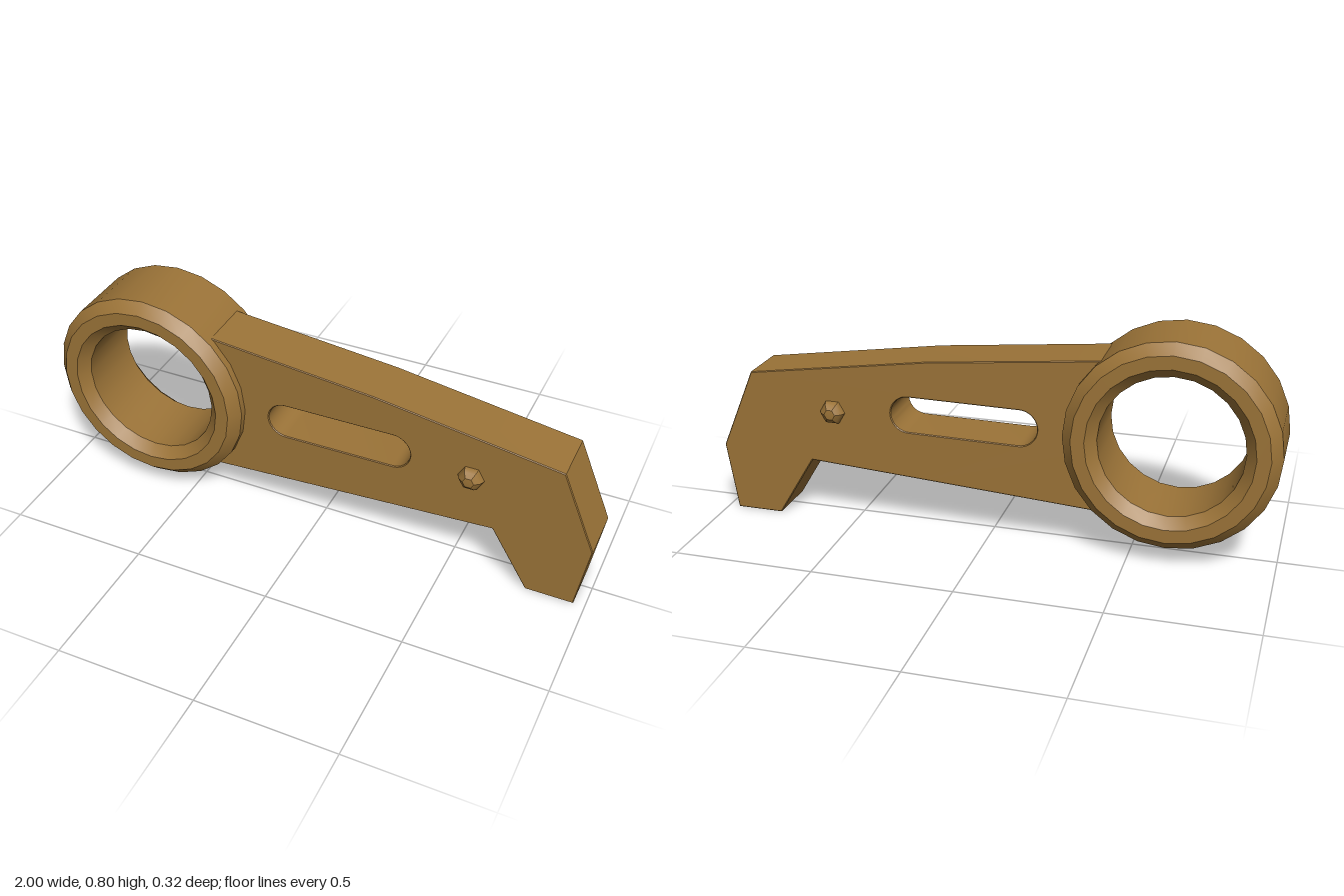
import * as THREE from 'three';
import { toCreasedNormals } from 'three/addons/utils/BufferGeometryUtils.js';

const RING = { x: -0.634, y: 0.433 };
const HALF = 0.097; // half thickness of the arm

export function createModel() {
  const group = new THREE.Group();
  const bronze = new THREE.MeshStandardMaterial({ color: 0x9c7438 });
  bronze.name = 'bronze';

  const add = (name, geometry, x = 0, y = 0, z = 0) => {
    const mesh = new THREE.Mesh(toCreasedNormals(geometry, 0.5), bronze);
    mesh.name = name;
    mesh.position.set(x, y, z);
    group.add(mesh);
    return mesh;
  };
  // Revolved profile of [radius, z] pairs, with its axis along z
  const turned = (profile, segments, start = 0) =>
    new THREE.LatheGeometry(profile.map(([r, z]) => new THREE.Vector2(r, z)), segments, start)
      .rotateX(Math.PI / 2);

  // Ring with chamfered rims inside and out
  add('ring', turned([
    [0.366, -0.123], [0.366, 0.123], [0.33, 0.16], [0.283, 0.16], [0.247, 0.123],
    [0.247, -0.123], [0.283, -0.16], [0.33, -0.16], [0.366, -0.123],
  ], 24), RING.x, RING.y);

  // Tapered arm with hooked tip; its root is an arc hidden in the ring wall
  const outline = [
    [-0.39, 0.16], [0.22, 0.2], [0.655, 0.228], [0.79, 0.004], [0.96, 0.004],
    [0.998, 0.25], [0.875, 0.542], [0.22, 0.64], [-0.39, 0.702],
  ];
  for (let i = 0; i <= 8; i++) {
    const a = 0.8 - (i / 8) * 1.6;
    outline.push([RING.x + 0.31 * Math.cos(a), RING.y + 0.31 * Math.sin(a)]);
  }
  const shape = new THREE.Shape(outline.map(([x, y]) => new THREE.Vector2(x, y)));

  // Rounded slot through the arm
  const slot = new THREE.Path();
  slot.absarc(-0.111, 0.435, 0.065, Math.PI / 2, Math.PI * 1.5, false);
  slot.absarc(0.285, 0.44, 0.065, -Math.PI / 2, Math.PI / 2, false);
  slot.closePath();
  shape.holes.push(slot);

  const bevel = 0.003;
  add('arm', new THREE.ExtrudeGeometry(shape, {
    depth: 2 * (HALF - bevel), curveSegments: 10, bevelEnabled: true, bevelSegments: 1,
    bevelSize: bevel, bevelThickness: bevel, bevelOffset: -bevel,
  }).translate(0, 0, bevel - HALF));

  // Small six-sided domed stud on each face
  for (const side of [1, -1]) {
    const stud = add(side > 0 ? 'frontStud' : 'backStud', turned(
      [[0.046, -0.01], [0.046, 0.004], [0.038, 0.02], [0.02, 0.033], [0, 0.035]], 6, Math.PI / 2,
    ), 0.567, 0.422, side * HALF);
    if (side < 0) stud.rotation.y = Math.PI;
  }

  return group;
}
